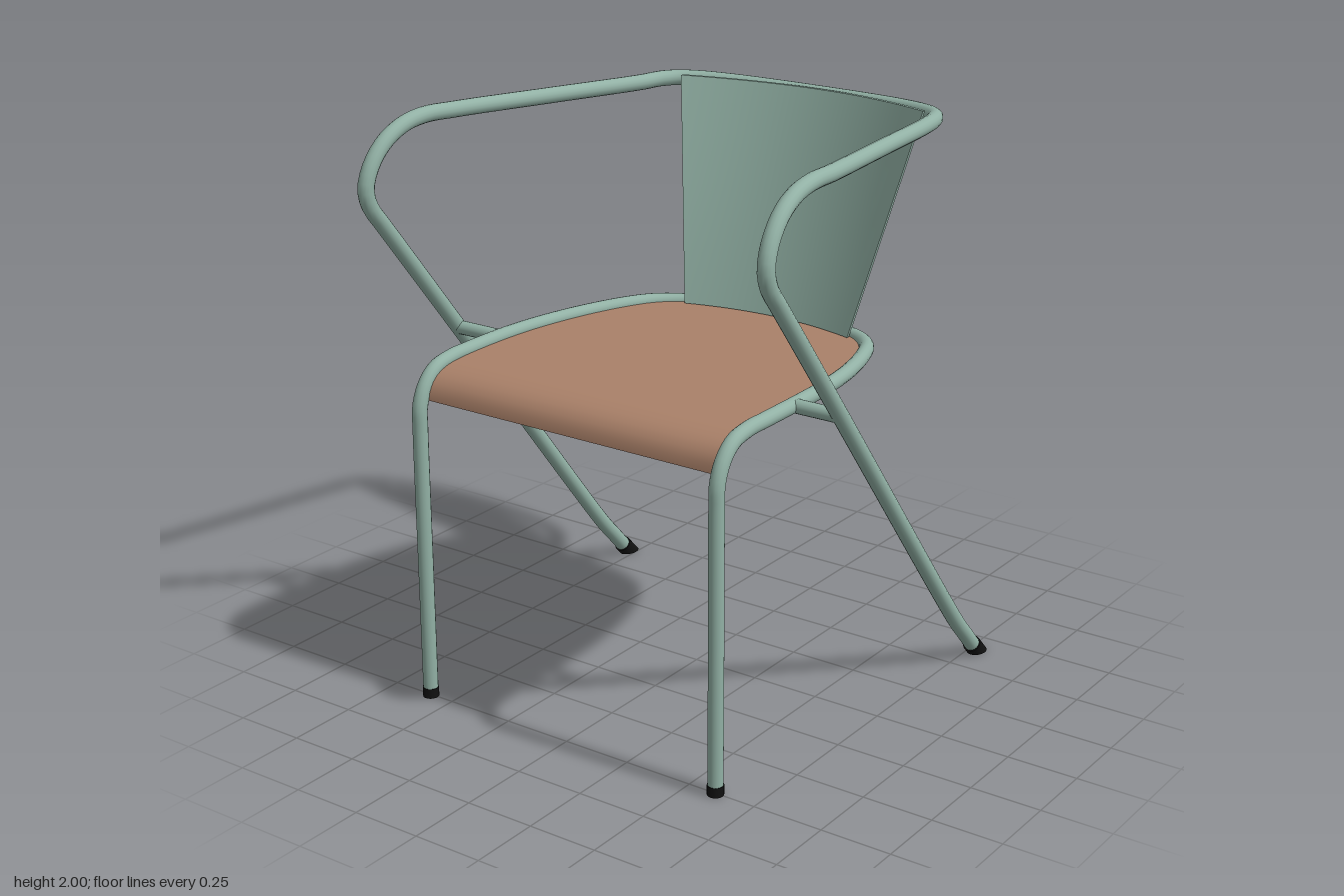
import * as THREE from 'three';

const paint = new THREE.MeshStandardMaterial({ color: 0x92b1a5 });
const wood = new THREE.MeshStandardMaterial({ color: 0xaa8169 });
const rubber = new THREE.MeshStandardMaterial({ color: 0x111111 });

// half path (foot to middle of the back) mirrored into one full curve
function mirroredCurve(half) {
  const right = half.map(([x, y, z]) => new THREE.Vector3(x, y, z));
  const left = right.slice(0, -1).reverse().map((p) => new THREE.Vector3(-p.x, p.y, p.z));
  return new THREE.CatmullRomCurve3([...right, ...left]);
}

function mesh(name, geometry, material) {
  const m = new THREE.Mesh(geometry, material);
  m.name = name;
  return m;
}

// box whose vertices are moved by a rule; edges stay crisp
function shapedBox(nx, ny, nz, rule) {
  const g = new THREE.BoxGeometry(2, 1, 1, nx, ny, nz);
  const p = g.attributes.position;
  const v = new THREE.Vector3();
  for (let i = 0; i < p.count; i++) {
    v.fromBufferAttribute(p, i);
    p.setXYZ(i, ...rule(v.x, v.y, v.z));
  }
  g.computeVertexNormals();
  return g;
}

// rubber foot along the leg axis, cut flat on the ground
function footCap(top, axis, radius) {
  const g = new THREE.CylinderGeometry(radius, radius, 0.04, 20);
  g.translate(0, -0.02, 0);
  g.applyQuaternion(new THREE.Quaternion().setFromUnitVectors(new THREE.Vector3(0, -1, 0), axis));
  g.translate(top.x, top.y, top.z);
  const p = g.attributes.position;
  const v = new THREE.Vector3();
  for (let i = 0; i < p.count; i++) {
    v.fromBufferAttribute(p, i);
    const along = v.clone().sub(top).dot(axis);
    if (along > 0.02) v.addScaledVector(axis, -v.y / axis.y);
    p.setXYZ(i, v.x, v.y, v.z);
  }
  g.computeVertexNormals();
  return g;
}

export function createModel() {
  const chair = new THREE.Group();
  chair.name = 'armchair';

  // back legs, armrests and top rail in one bent tube
  const armCurve = mirroredCurve([
    [0.78, 0.04, -0.605], [0.78, 0.1, -0.55], [0.78, 0.17, -0.485], [0.78, 0.3, -0.378],
    [0.78, 1.19, 0.327], [0.78, 1.53, 0.598], [0.78, 1.645, 0.69], [0.78, 1.71, 0.74],
    [0.78, 1.77, 0.757], [0.777, 1.84, 0.735], [0.772, 1.91, 0.675], [0.766, 1.955, 0.59],
    [0.759, 1.972, 0.49], [0.742, 1.968, 0.35], [0.664, 1.949, -0.07], [0.585, 1.93, -0.49],
    [0.566, 1.93, -0.575], [0.535, 1.928, -0.635], [0.47, 1.925, -0.682], [0.35, 1.92, -0.725],
    [0.18, 1.915, -0.755], [0, 1.913, -0.765],
  ]);
  chair.add(mesh('armAndBackLegTube', new THREE.TubeGeometry(armCurve, 300, 0.028, 16), paint));

  // front legs and seat rail in one bent tube
  const seatFrame = new THREE.Group();
  seatFrame.name = 'seatFrame';
  seatFrame.position.x = 0.008;
  chair.add(seatFrame);
  const frameCurve = mirroredCurve([
    [0.598, 0.025, 0.755], [0.598, 0.5, 0.754], [0.598, 0.98, 0.753], [0.598, 1.06, 0.75],
    [0.598, 1.125, 0.722], [0.598, 1.172, 0.67], [0.598, 1.19, 0.59], [0.599, 1.192, 0.5],
    [0.597, 1.192, 0.3], [0.585, 1.188, 0.13], [0.555, 1.182, -0.06], [0.5, 1.176, -0.25],
    [0.45, 1.171, -0.355], [0.38, 1.166, -0.425], [0.28, 1.162, -0.467], [0.15, 1.16, -0.492],
    [0, 1.158, -0.5],
  ]);
  seatFrame.add(mesh('seatRailAndFrontLegTube', new THREE.TubeGeometry(frameCurve, 260, 0.026, 16), paint));

  // seat panel fills the rail and rolls down at the front
  const rail = frameCurve.getPoints(1200).slice(0, 601);
  const halfWidth = (z) => (rail.find((p) => p.z <= z) ?? rail[600]).x;
  const profile = new THREE.CatmullRomCurve3([
    [1.16, -0.498], [1.165, -0.35], [1.174, 0], [1.181, 0.3], [1.18, 0.55], [1.173, 0.63],
    [1.15, 0.69], [1.115, 0.719], [1.08, 0.726],
  ].map(([y, z]) => new THREE.Vector3(0, y, z)));
  const seat = shapedBox(8, 1, 60, (u, t, v) => {
    const s = Math.pow(v + 0.5, 1.4);
    const p = profile.getPointAt(s);
    const d = profile.getTangentAt(s);
    const w = Math.max(halfWidth(p.z) - 0.006, 0.02);
    return [u * w, p.y + d.z * t * 0.012, p.z - d.y * t * 0.012];
  });
  seatFrame.add(mesh('seatPanel', seat, wood));

  // curved, tapering backrest sheet
  const back = shapedBox(28, 4, 1, (u, v, t) => {
    const h = v + 0.5;
    const w = THREE.MathUtils.lerp(0.343, 0.5, h);
    const mid = THREE.MathUtils.lerp(-0.452, -0.728, h);
    const bow = THREE.MathUtils.lerp(0.055, 0.13, h);
    const y = THREE.MathUtils.lerp(1.172, 1.938 + 0.012 * u * u, h);
    return [u * w + 0.015, y, mid + bow * u * u + t * 0.014];
  });
  chair.add(mesh('backrest', back, paint));

  for (const side of [-1, 1]) {
    const name = side > 0 ? 'left' : 'right';
    // short bar joining the arm tube to the seat rail
    const bar = new THREE.CylinderGeometry(0.024, 0.024, 0.17, 16).rotateZ(Math.PI / 2);
    const link = mesh(name + 'Crossbar', bar, paint);
    link.position.set(side * 0.69, 1.192, 0.332);
    chair.add(link);
    // feet
    const slope = new THREE.Vector3(0, -0.72, -0.69).normalize();
    const backTop = new THREE.Vector3(side * 0.78, 0.045, -0.6);
    chair.add(mesh(name + 'BackFoot', footCap(backTop, slope, 0.032), rubber));
    const frontTop = new THREE.Vector3(side * 0.598, 0.035, 0.755);
    seatFrame.add(mesh(name + 'FrontFoot', footCap(frontTop, new THREE.Vector3(0, -1, 0), 0.028), rubber));
  }
  return chair;
}
